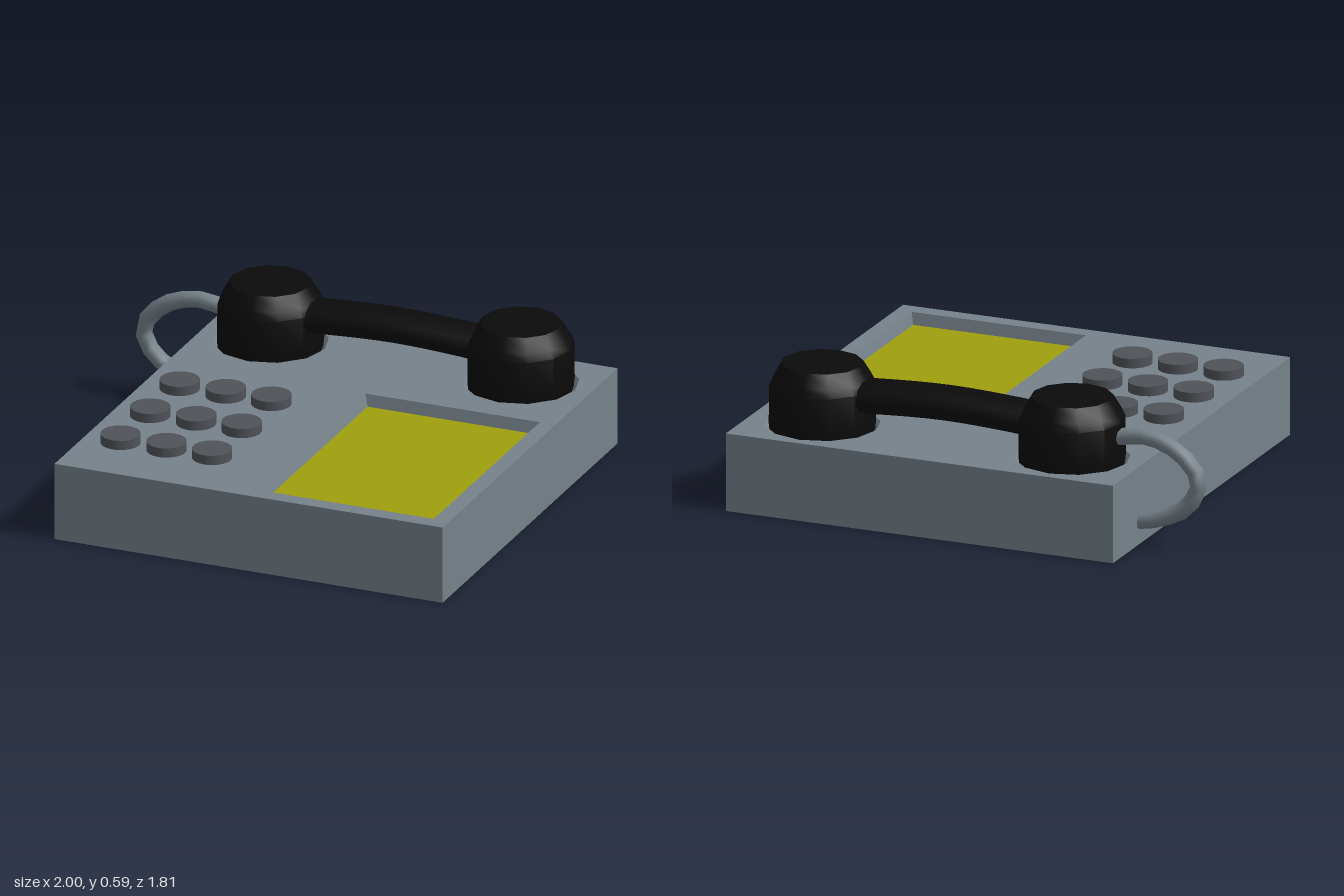
import * as THREE from 'three';
import { toCreasedNormals } from 'three/addons/utils/BufferGeometryUtils.js';

const material = (name, color, side = THREE.FrontSide) =>
  Object.assign(new THREE.MeshStandardMaterial({ color, side }), { name });

const TOP = 0.33;                       // height of the casing
const HANDSET_Z = -0.625;
const CUPS_X = [-0.405, 0.695];
const SIDES = 12;

// Corners of a horizontal rectangle
const rect = (x0, x1, z0, z1, y) => [[x0, y, z0], [x0, y, z1], [x1, y, z1], [x1, y, z0]];

// Open band of flat walls between two loops of equal length
function band(upper, lower) {
  const positions = [];
  upper.forEach((a, i) => {
    const j = (i + 1) % upper.length;
    positions.push(...a, ...lower[i], ...lower[j], ...a, ...lower[j], ...upper[j]);
  });
  const g = new THREE.BufferGeometry();
  g.setAttribute('position', new THREE.Float32BufferAttribute(positions, 3));
  g.computeVertexNormals();
  return g;
}

// Circle of corners matching the sides of a cylinder
const ring = (x, z, r, y) => Array.from({ length: SIDES }, (_, i) => {
  const a = (i / SIDES) * Math.PI * 2;
  return [x + r * Math.sin(a), y, z + r * Math.cos(a)];
});

export function createModel() {
  const grey = material('casing grey', 0x76828a, THREE.DoubleSide);
  const dark = material('button grey', 0x4f5258);
  const black = material('handset black', 0x0a0a0a, THREE.DoubleSide);
  const yellow = material('screen yellow', 0xa0a00e, THREE.DoubleSide);

  const model = new THREE.Group();
  model.name = 'deskPhone';
  const add = (parent, name, geometry, mat) => {
    const mesh = new THREE.Mesh(geometry, mat);
    mesh.name = name;
    parent.add(mesh);
    return mesh;
  };
  const group = (name) => {
    const g = new THREE.Group();
    g.name = name;
    model.add(g);
    return g;
  };

  // Casing: thin shell, open underneath, with openings in its top
  const casing = group('casing');
  const flat = (loop) => loop.map(([x, , z]) => new THREE.Vector2(x, -z));
  const outer = rect(-0.705, 1, -0.905, 0.905, TOP);
  const screenRim = rect(0.165, 0.932, -0.263, 0.835, TOP);
  const screenBed = rect(0.18, 0.92, -0.25, 0.822, TOP - 0.05);
  const lid = new THREE.Shape(flat(outer));
  lid.holes.push(new THREE.Path(flat(screenRim)));
  for (const x of CUPS_X) lid.holes.push(new THREE.Path(flat(ring(x, HANDSET_Z, 0.237, TOP))));
  add(casing, 'casingTop', new THREE.ShapeGeometry(lid).rotateX(-Math.PI / 2).translate(0, TOP, 0), grey);
  add(casing, 'casingWalls', band(outer, rect(-0.705, 1, -0.905, 0.905, 0)), grey);
  add(casing, 'screenRecess', band(screenBed, screenRim), grey);
  for (const x of CUPS_X) {
    add(casing, 'cradleRecess',
      band(ring(x, HANDSET_Z, 0.215, TOP - 0.03), ring(x, HANDSET_Z, 0.237, TOP)), grey);
  }

  // Sunken screen
  add(model, 'screen', new THREE.PlaneGeometry(0.74, 1.072).rotateX(-Math.PI / 2), yellow)
    .position.set(0.55, TOP - 0.05, 0.286);

  // Keypad of three by three round buttons
  const keypad = group('keypad');
  const buttonShape = new THREE.CylinderGeometry(0.082, 0.082, 0.04, 24);
  for (const z of [-0.02, 0.287, 0.593]) {
    for (const x of [-0.547, -0.345, -0.145]) {
      add(keypad, 'button', buttonShape, dark).position.set(x, TOP + 0.02, z);
    }
  }

  // Handset: two rounded cups joined by an arched grip
  const handset = group('handset');
  const cupProfile = [[0, 0.3], [0.215, 0.3], [0.219, 0.34], [0.217, 0.5], [0.2, 0.535], [0.167, 0.59], [0, 0.59]]
    .map(([r, y]) => new THREE.Vector2(r, y));
  const cupShape = toCreasedNormals(new THREE.LatheGeometry(cupProfile, SIDES), 0.62);
  for (const x of CUPS_X) add(handset, 'cup', cupShape, black).position.set(x, 0, HANDSET_Z);

  const squash = 0.66;
  const arch = new THREE.CatmullRomCurve3(
    [[-0.4, 0.455], [-0.15, 0.476], [0.145, 0.488], [0.44, 0.476], [0.69, 0.455]]
      .map(([x, y]) => new THREE.Vector3(x, y / squash, HANDSET_Z)));
  add(handset, 'grip', new THREE.TubeGeometry(arch, 14, 0.105, 10).scale(1, squash, 1), black);

  // Cord looping from the cup into the side wall
  const loop = new THREE.CatmullRomCurve3(
    [[-0.58, 0.435], [-0.73, 0.458], [-0.88, 0.405], [-0.963, 0.295], [-0.915, 0.185], [-0.8, 0.12], [-0.69, 0.095]]
      .map(([x, y]) => new THREE.Vector3(x, y, HANDSET_Z)));
  add(model, 'cord', new THREE.TubeGeometry(loop, 12, 0.036, 8), grey);

  return model;
}
